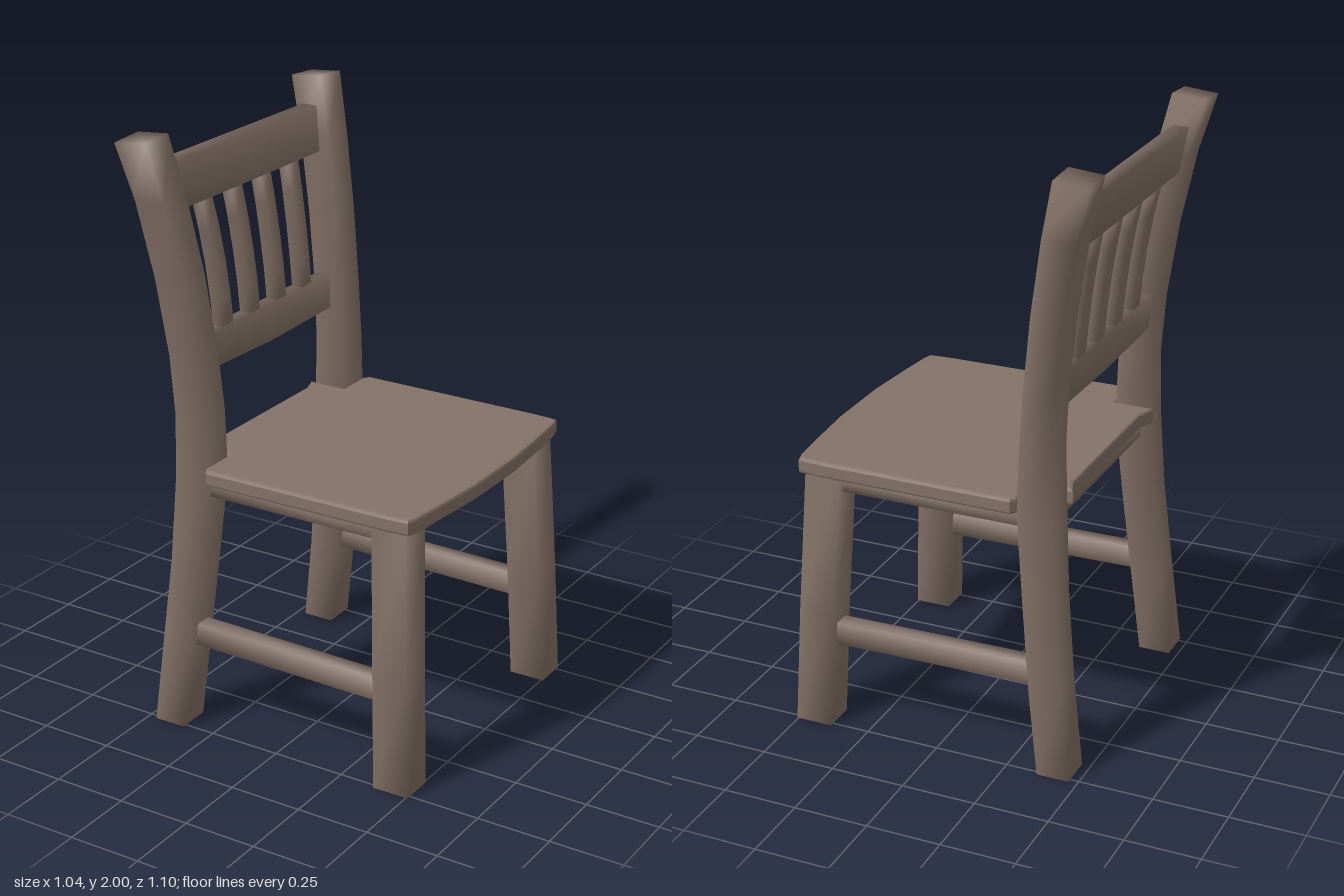
import * as THREE from 'three';

// Four-sided bar with soft shading. Each section is [t, p0, p1, q0, q1]:
// t runs along the axis, p and q along the next two axes in x-y-z order.
function bar(axis, sections, bend) {
  const pos = [], idx = [];
  const P = (axis + 1) % 3, Q = (axis + 2) % 3;
  for (const [t, p0, p1, q0, q1] of sections) {
    for (const [p, q] of [[p0, q0], [p1, q0], [p1, q1], [p0, q1]]) {
      const v = [0, 0, 0];
      v[axis] = t; v[P] = p; v[Q] = q;
      if (bend) bend(v);
      pos.push(...v);
    }
  }
  const n = sections.length;
  for (let s = 0; s < n - 1; s++) {
    for (let i = 0; i < 4; i++) {
      const a = s * 4 + i, b = s * 4 + (i + 1) % 4;
      idx.push(a, b, b + 4, a, b + 4, a + 4);
    }
  }
  const e = (n - 1) * 4;
  idx.push(0, 2, 1, 0, 3, 2, e, e + 1, e + 2, e, e + 2, e + 3);
  const g = new THREE.BufferGeometry();
  g.setAttribute('position', new THREE.Float32BufferAttribute(pos, 3));
  g.setIndex(idx);
  g.computeVertexNormals();
  return g;
}

const X = 0, Y = 1, Z = 2;
const side = (s, a, b) => (s > 0 ? [a, b] : [-b, -a]);

export function createModel() {
  const group = new THREE.Group();
  const wood = new THREE.MeshStandardMaterial({ color: 0x857368 });
  wood.name = 'brown wood';
  const add = (name, geometry) => {
    const m = new THREE.Mesh(geometry, wood);
    m.name = name;
    group.add(m);
    return m;
  };

  // Seat: bowed front edge, rear corners notched around the posts
  const half = [[0.52, 0.13], [0.505, 0.32], [0.492, 0.45], [0.482, 0.485], [0.4, 0.491],
    [-0.255, 0.495], [-0.27, 0.475], [-0.27, 0.35], [-0.405, 0.35], [-0.385, 0.29]];
  const outline = [...half, ...half.map(([x, z]) => [x, -z]).reverse()];
  const seat = add('seat', new THREE.ExtrudeGeometry(
    new THREE.Shape(outline.map(([x, z]) => new THREE.Vector2(x, z))),
    { depth: 0.035, bevelThickness: 0.01, bevelSize: 0.01, bevelOffset: -0.01, bevelSegments: 2 },
  ).rotateX(Math.PI / 2));
  seat.position.y = 0.93;

  for (const s of [1, -1]) {
    const word = s > 0 ? 'Left' : 'Right';

    // Rear leg and back post in one curved piece: [y, x0, x1, z0, z1]
    const post = [
      [0, -0.47, -0.36, 0.4, 0.515], [0.3, -0.435, -0.325, 0.39, 0.505],
      [0.6, -0.405, -0.295, 0.37, 0.487], [0.88, -0.388, -0.27, 0.352, 0.474],
      [1.1, -0.382, -0.277, 0.352, 0.474], [1.3, -0.395, -0.292, 0.362, 0.48],
      [1.55, -0.428, -0.322, 0.38, 0.497], [1.8, -0.475, -0.365, 0.405, 0.522],
      [2, -0.525, -0.41, 0.43, 0.55]];
    add('backPost' + word, bar(Y, post.map(([y, x0, x1, z0, z1]) => [y, ...side(s, z0, z1), x0, x1]),
      (v) => { if (v[1] === 2) v[1] -= 0.06 * (Math.abs(v[2]) - 0.43) + 0.09 * (-0.41 - v[0]); }));

    // Splayed front leg
    const leg = [[0, 0.38, 0.505, 0.4, 0.515], [0.4, 0.366, 0.488, 0.383, 0.5],
      [0.89, 0.345, 0.465, 0.353, 0.473]];
    add('frontLeg' + word, bar(Y, leg.map(([y, x0, x1, z0, z1]) => [y, ...side(s, z0, z1), x0, x1])));

    // Side stretcher and apron
    add('stretcher' + word, bar(X, [
      [-0.36, 0.3, 0.375, ...side(s, 0.415, 0.475)],
      [0.41, 0.288, 0.365, ...side(s, 0.415, 0.475)]]));
    add('sideApron' + word, bar(X, [
      [-0.3, 0.83, 0.89, ...side(s, 0.385, 0.445)],
      [0.37, 0.83, 0.89, ...side(s, 0.385, 0.445)]]));
  }

  // Front and back aprons
  for (const [name, x] of [['frontApron', 0.405], ['backApron', -0.33]]) {
    add(name, bar(Z, [[-0.37, x - 0.03, x + 0.03, 0.83, 0.89], [0.37, x - 0.03, x + 0.03, 0.83, 0.89]]));
  }

  // Back rails leaning with the posts
  const lean = (y0, k) => (v) => { v[0] -= k * (v[1] - y0); };
  add('topRail', bar(Z, [-0.43, 0, 0.43].map((z) => [z, -0.463, -0.407, 1.75, 1.9]), lean(1.82, 0.15)));
  add('lowerRail', bar(Z, [-0.39, 0, 0.39].map((z) => [z, -0.383, -0.333, z ? 1.222 : 1.213, 1.335]),
    lean(1.28, 0.06)));

  // Curved slats fanning outward
  for (const z of [-0.23, -0.077, 0.077, 0.23]) {
    const rows = [0, 0.25, 0.5, 0.75, 1].map((t) => {
      const c = z * (1 + 0.08 * t * t), x = -0.36 - 0.03 * t - 0.035 * t * t;
      return [1.31 + 0.46 * t, c - 0.029, c + 0.029, x - 0.02, x + 0.02];
    });
    add('slat', bar(Y, rows));
  }
  return group;
}
